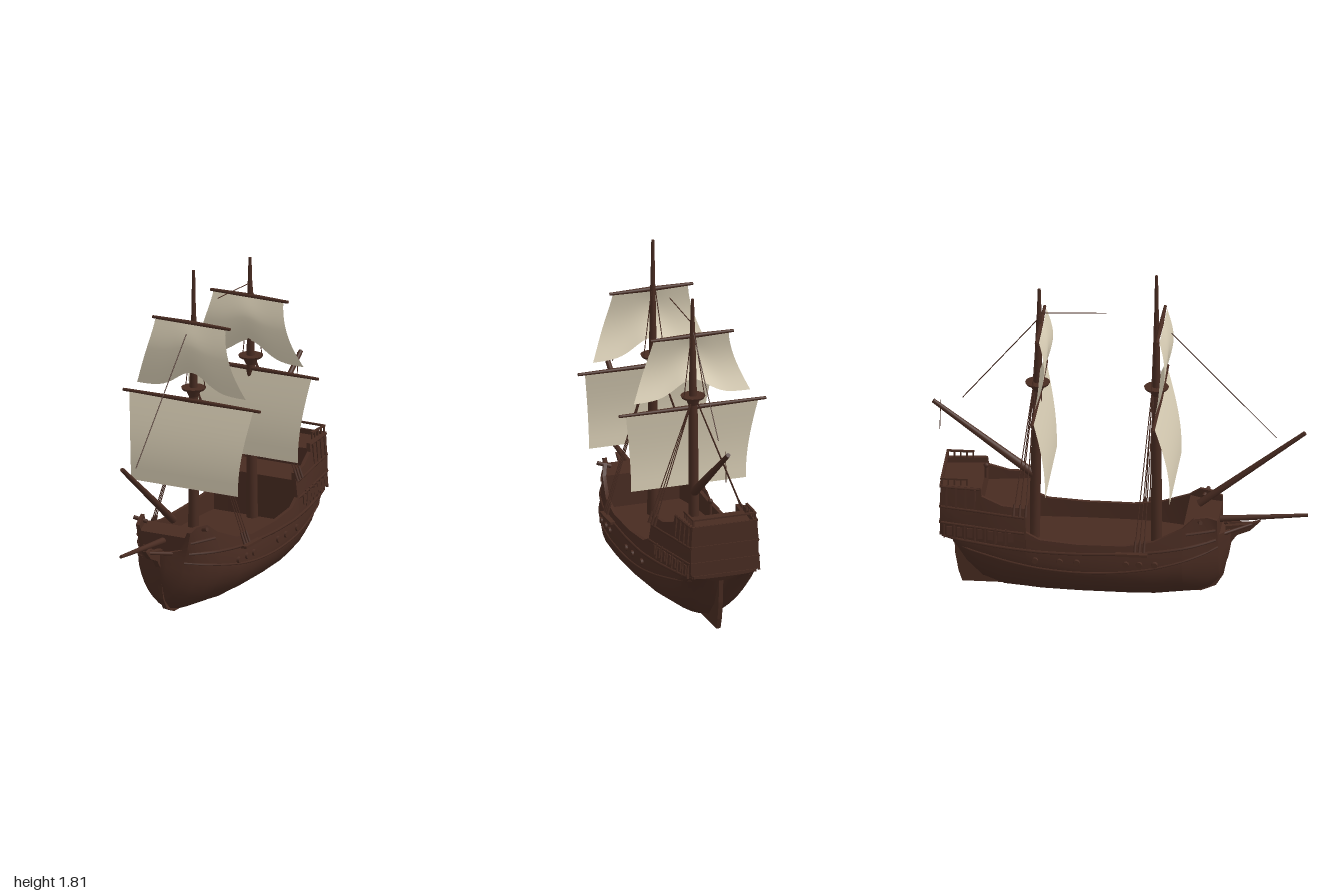
import * as THREE from 'three';
import { toCreasedNormals } from 'three/addons/utils/BufferGeometryUtils.js';

// Hull stations: z, keel y, half width, rail y, rail half width
const STATIONS = [
  [-0.93, 0.33, 0.19, 0.63, 0.18],
  [-0.89, 0.32, 0.2, 0.63, 0.185],
  [-0.87, 0.28, 0.203, 0.63, 0.187],
  [-0.8, 0.13, 0.217, 0.63, 0.193],
  [-0.715, 0.04, 0.235, 0.63, 0.2],
  [-0.71, 0.04, 0.236, 0.585, 0.207],
  [-0.6, 0, 0.258, 0.545, 0.228],
  [-0.475, 0, 0.275, 0.54, 0.242],
  [-0.47, 0, 0.276, 0.41, 0.26],
  [-0.4, 0, 0.283, 0.375, 0.268],
  [-0.2, 0, 0.29, 0.36, 0.275],
  [0.05, 0, 0.29, 0.36, 0.272],
  [0.2, 0, 0.283, 0.385, 0.26],
  [0.35, 0.01, 0.245, 0.45, 0.225],
  [0.355, 0.01, 0.243, 0.455, 0.223],
  [0.41, 0.01, 0.215, 0.5, 0.198],
  [0.48, 0.03, 0.172, 0.5, 0.174],
  [0.53, 0.08, 0.122, 0.48, 0.163],
  [0.535, 0.09, 0.115, 0.38, 0.118],
  [0.575, 0.2, 0.045, 0.37, 0.05],
  [0.59, 0.28, 0.01, 0.36, 0.01],
];
const BILGE = 8;
const V = (x, y, z) => new THREE.Vector3(x, y, z);

// Rules along the length: height of the widest line, bilge sharpness, deck level
const widestY = z => 0.22 + (z < 0 ? 0.173 : 0.3) * z * z;
const sharpness = z => {
  if (z < -0.88) return 0.35;
  return 1.1 + 0.3 * THREE.MathUtils.smoothstep(Math.abs(z), 0.35, 0.65);
};
const deckY = (z, rail) => {
  if (z < -0.712) return 0.6;
  if (z < -0.472) return 0.5;
  if (z < 0.352) return 0.27;
  return z < 0.532 ? 0.45 : rail - 0.02;
};

// Outer half width of the topsides at a given z and y
function sideX(z, y) {
  let i = 0;
  while (i < STATIONS.length - 2 && STATIONS[i + 1][0] < z) i++;
  const a = STATIONS[i], b = STATIONS[i + 1];
  const t = THREE.MathUtils.clamp((z - a[0]) / (b[0] - a[0]), 0, 1);
  const [, low, wide, rail, wRail] = a.map((v, k) => v + (b[k] - v) * t);
  const yM = widestY(z);
  if (y >= yM) {
    const k = Math.min(1, (y - yM) / (rail - yM));
    return wide + (wRail - wide) * k + 0.012 * k * (1 - k);
  }
  const c = THREE.MathUtils.clamp(1 - (y - low) / (yM - low), 0, 1);
  return wide * Math.pow(Math.sqrt(1 - c * c), sharpness(z));
}

function hullGeometry() {
  const pos = [], idx = [];
  const outer = BILGE + 2, n = 2 * (outer + 3);
  for (const [z, low, wide, rail, wRail] of STATIONS) {
    const half = [], yM = widestY(z), deck = deckY(z, rail);
    for (let i = 0; i <= BILGE; i++) {
      const a = (i / BILGE) * Math.PI / 2;
      half.push([wide * Math.pow(Math.sin(a), sharpness(z)), low + (yM - low) * (1 - Math.cos(a))]);
    }
    const inner = Math.max(0.004, wRail - 0.02);
    half.push([(wide + wRail) / 2 + 0.003, (yM + rail) / 2], [wRail, rail], [inner, rail], [inner, deck], [0, deck]);
    const ring = half.concat(half.slice(1, -1).reverse().map(([x, y]) => [-x, y]));
    ring.forEach(([x, y]) => pos.push(x, y, z));
  }
  const quad = (a, b, c, d) => idx.push(a, b, c, a, c, d);
  for (let s = 0; s < STATIONS.length - 1; s++)
    for (let i = 0; i < n; i++) {
      const j = (i + 1) % n;
      quad(s * n + i, s * n + j, (s + 1) * n + j, (s + 1) * n + i);
    }
  // Transom and stem caps
  const last = (STATIONS.length - 1) * n;
  for (let i = 0; i < outer; i++) {
    const l0 = (n - i) % n, l1 = n - i - 1;
    quad(i, l0, l1, i + 1);
    quad(last + i, last + i + 1, last + l1, last + l0);
  }
  const g = new THREE.BufferGeometry();
  g.setAttribute('position', new THREE.Float32BufferAttribute(pos, 3));
  g.setIndex(idx);
  return toCreasedNormals(g, 0.6);
}

// Flat plate drawn in (z, y) and given thickness across x
function plate(points, thick) {
  const g = new THREE.ExtrudeGeometry(new THREE.Shape(points.map(p => new THREE.Vector2(...p))),
    { depth: thick, bevelEnabled: false });
  return g.translate(0, 0, -thick / 2).rotateY(-Math.PI / 2);
}

export function createModel() {
  const model = new THREE.Group();
  model.name = 'sailingShip';
  const mat = (name, color) => {
    const m = new THREE.MeshStandardMaterial({ color, side: THREE.DoubleSide });
    m.name = name;
    return m;
  };
  const wood = mat('darkWood', 0x482b21), canvas = mat('sailCanvas', 0xdbd0b7);
  const add = (name, geo, material = wood) => {
    const m = new THREE.Mesh(geo, material);
    m.name = name;
    model.add(m);
    return m;
  };
  const box = (name, w, h, d, x, y, z) => {
    const m = add(name, new THREE.BoxGeometry(w, h, d));
    m.position.set(x, y, z);
    return m;
  };
  const beam = (name, a, b, r0, r1, sides = 10) => {
    const m = add(name, new THREE.CylinderGeometry(r1, r0, a.distanceTo(b), sides));
    m.position.copy(a).lerp(b, 0.5);
    m.quaternion.setFromUnitVectors(V(0, 1, 0), b.clone().sub(a).normalize());
  };
  const rope = (a, b, r = 0.0028) => beam('rope', a, b, r, r, 5);

  // Hull, keel with rudder, beakhead
  add('hull', hullGeometry());
  add('keelAndRudder', plate([[-0.83, 0], [0.43, 0], [0.51, 0.035], [0.55, 0.1], [0.575, 0.22], [0.595, 0.36],
    [0.56, 0.36], [0.52, 0.14], [0.43, 0.03], [-0.6, 0.03], [-0.78, 0.3], [-0.875, 0.32], [-0.868, 0.16],
    [-0.85, 0.06]], 0.024));
  add('beakhead', plate([[0.57, 0.26], [0.62, 0.33], [0.69, 0.36], [0.745, 0.415], [0.68, 0.395], [0.56, 0.38]], 0.028));
  for (const s of [-1, 1]) {
    beam('beakRail', V(s * 0.07, 0.36, 0.55), V(0, 0.4, 0.72), 0.01, 0.007);
    beam('cathead', V(s * 0.15, 0.47, 0.43), V(s * 0.22, 0.49, 0.45), 0.011, 0.011);

    // Wales and mouldings that follow the side
    const wale = (z0, z1, y0, y1, r, sag = 0) => {
      const pts = [];
      for (let i = 0; i <= 20; i++) {
        const t = i / 20, z = z0 + (z1 - z0) * t, y = y0 + (y1 - y0) * t - sag * Math.sin(Math.PI * t);
        pts.push(V(s * sideX(z, y), y, z));
      }
      add('wale', new THREE.TubeGeometry(new THREE.CatmullRomCurve3(pts), 40, r, 5));
    };
    wale(-0.92, 0.52, 0.34, 0.36, 0.008, 0.04);
    wale(-0.86, 0.53, 0.30, 0.31, 0.006, 0.1);
    wale(-0.925, -0.48, 0.42, 0.405, 0.007);
    wale(-0.925, -0.48, 0.51, 0.49, 0.007);
    wale(-0.925, -0.72, 0.622, 0.622, 0.007);
    wale(0.37, 0.52, 0.42, 0.42, 0.008);

    // Castle windows and posts between the mouldings
    for (let i = 0; i < 7; i++) {
      const z = -0.55 - i * 0.055;
      box('castleWindow', 0.008, 0.05, 0.028, s * (sideX(z, 0.375) + 0.003), 0.378, z).rotation.z = s * 0.08;
      box('castlePost', 0.012, 0.085, 0.009, s * sideX(z - 0.027, 0.375), 0.378, z - 0.027).rotation.z = s * 0.08;
    }
    for (let i = 0; i < 4; i++) {
      const z = -0.745 - i * 0.05;
      box('castlePost', 0.01, 0.11, 0.01, s * sideX(z, 0.565), 0.565, z).rotation.z = s * 0.08;
    }
    // Side ports
    for (const z of [0.21, 0.13, 0.06, -0.2, -0.29, -0.42]) {
      const x = sideX(z, 0.262);
      beam('sidePort', V(s * (x - 0.012), 0.262, z), V(s * (x + 0.01), 0.262, z), 0.02, 0.016);
    }
    // Poop rail
    for (let i = 0; i < 5; i++) box('railPost', 0.008, 0.04, 0.008, s * 0.172, 0.645, -0.79 - i * 0.033);
    box('poopRail', 0.012, 0.009, 0.145, s * 0.172, 0.665, -0.858);
  }
  box('sternRail', 0.356, 0.009, 0.012, 0, 0.665, -0.924);
  for (const y of [0.345, 0.42, 0.51, 0.622]) box('sternMoulding', 2 * sideX(-0.93, y), 0.014, 0.012, 0, y, -0.929);
  beam('lanternPost', V(0, 0.6, -0.705), V(0, 0.67, -0.705), 0.008, 0.008);
  add('lantern', new THREE.SphereGeometry(0.014, 8, 6)).position.set(0, 0.672, -0.705);

  // Spars over bow and stern
  beam('bowsprit', V(0, 0.41, 0.46), V(0, 0.458, 0.995), 0.019, 0.009);
  beam('foreSpar', V(0, 0.5, 0.42), V(0, 0.935, 0.98), 0.021, 0.012);
  beam('sternSpar', V(0, 0.63, -0.45), V(0, 1.035, -0.985), 0.024, 0.012);

  // A square sail: half width and depth vary from top to bottom, with an arched foot
  const sail = (name, z0, yTop, yFoot, arch, halfW, depth) => {
    const g = new THREE.PlaneGeometry(2, 1, 24, 14), p = g.attributes.position;
    for (let i = 0; i < p.count; i++) {
      const u = p.getX(i), v = 0.5 - p.getY(i);
      const foot = yFoot + arch * Math.exp(-Math.pow(u / 0.38, 2));
      p.setXYZ(i, u * halfW(v), yTop + (foot - yTop) * v, z0 + depth(v));
    }
    g.computeVertexNormals();
    add(name, g, canvas);
  };
  const yard = (y, z, half) => {
    for (const s of [-1, 1]) beam('yard', V(0, y, z), V(s * half, y, z), 0.013, 0.008);
  };

  // Masts with platforms, yards, sails and shrouds; the after mast leans a little
  for (const { z, tip, upper, lean, yardZ, belly, upperZ, shroudY, spread } of [
    { z: 0.195, tip: 1.815, upper: 1.53, lean: 0, yardZ: 0.215, belly: 0.075, upperZ: 0.231, shroudY: 0.335, spread: 0.024 },
    { z: -0.425, tip: 1.71, upper: 1.5, lean: 0.008, yardZ: -0.425, belly: 0.056, upperZ: -0.406, shroudY: 0.5, spread: 0.032 },
  ]) {
    const at = y => V(0, y, z - lean * (1.56 - y) / 0.4);
    const top = at(1.16).z;
    beam('mast', at(0.27), at(1.16), 0.03, 0.024, 14);
    beam('mast', at(1.14), at(1.56), 0.022, 0.014, 12);
    beam('topmast', V(0, 1.55, z), V(0, tip, z), 0.013, 0.008);
    beam('platform', V(0, 1.158, top), V(0, 1.17, top), 0.06, 0.066, 16);
    beam('platformBracket', V(0, 1.12, top), V(0, 1.158, top), 0.026, 0.042, 12);
    yard(1.1, yardZ, 0.41);
    yard(upper, upperZ - 0.012, 0.232);
    sail('lowerSail', yardZ + 0.006, 1.095, 0.64, 0, v => 0.37 - 0.05 * Math.sin(v * Math.PI / 2),
      v => belly * Math.sin(Math.min(1, v * 1.1) * Math.PI / 2));
    sail('upperSail', upperZ, upper - 0.005, 1.155, 0.1, v => 0.21 + 0.115 * Math.pow(v, 1.4),
      v => 0.036 * Math.sin(v * Math.PI) - 0.012 * v);
    for (const s of [-1, 1]) {
      for (let i = 0; i < 3; i++) {
        const endZ = top - 0.04 - i * spread, x = sideX(endZ, shroudY) + 0.012;
        const end = V(s * x, shroudY, endZ);
        rope(V(s * 0.02, 1.13, top - 0.012 - i * 0.006), end);
        beam('deadeye', end, V(s * (x - 0.02), shroudY + 0.06, endZ + 0.003), 0.008, 0.006, 6);
      }
      rope(V(s * 0.012, upper, z - 0.01), V(s * 0.058, 1.165, top - 0.02), 0.0025);
    }
  }
  for (const s of [-1, 1]) box('channel', 0.04, 0.014, 0.17, s * 0.285, 0.322, 0.09);

  // Stays
  rope(V(0, 1.485, 0.275), V(0, 0.9, 0.83));
  rope(V(0, 1.53, -0.435), V(0, 1.06, -0.83));
  rope(V(0, 1.585, -0.07), V(0, 1.57, -0.42), 0.0025);
  rope(V(0, 1.04, -0.945), V(0, 0.87, -0.95), 0.002);
  return model;
}
